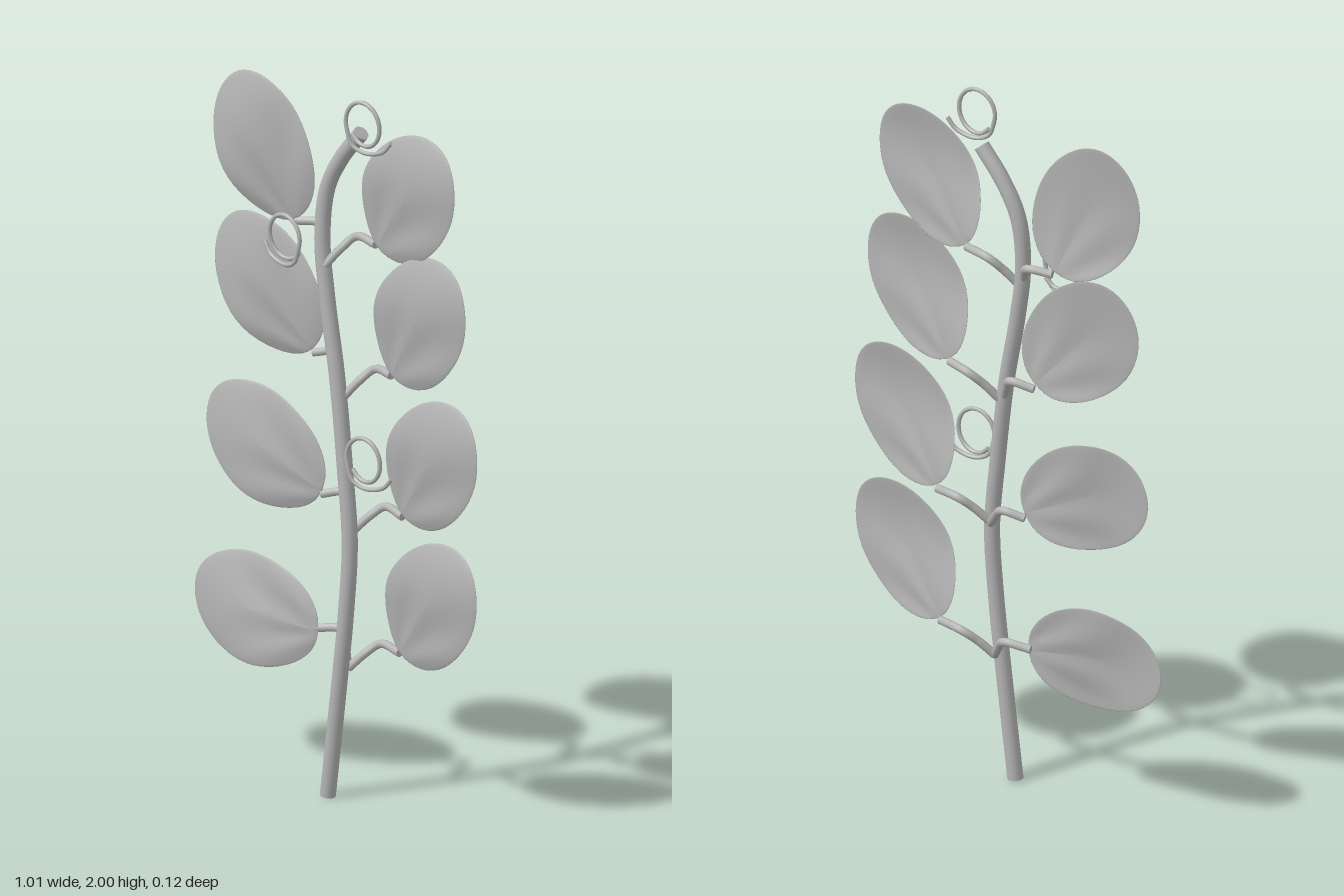
import * as THREE from 'three';

const grey = new THREE.MeshStandardMaterial({ color: 0xb4b4b4 });
grey.name = 'grey';

const vec = (p) => new THREE.Vector3(...p);

// Round tube along a smooth curve, closed with flat discs at both ends
function cappedTube(name, points, radius, segments, sides) {
  const group = new THREE.Group();
  group.name = name;
  const curve = new THREE.CatmullRomCurve3(points.map(vec));
  group.add(new THREE.Mesh(new THREE.TubeGeometry(curve, segments, radius, sides), grey));
  for (const t of [0, 1]) {
    const cap = new THREE.Mesh(new THREE.CircleGeometry(radius, sides), grey);
    const out = curve.getTangent(t).multiplyScalar(t ? 1 : -1);
    cap.quaternion.setFromUnitVectors(new THREE.Vector3(0, 0, 1), out);
    cap.position.copy(curve.getPoint(t));
    group.add(cap);
  }
  group.children.forEach((m, i) => { m.name = name + (i ? 'End' : 'Tube'); });
  return group;
}

// Thin oval leaf: a flattened sphere, bowed along its length and puckered at its base
function leaf(name, x, y, a, b, degrees) {
  const side = Math.sign(x);
  const geo = new THREE.SphereGeometry(1, 48, 24).rotateX(Math.PI / 2);
  const pos = geo.attributes.position;
  for (let i = 0; i < pos.count; i++) {
    const u = pos.getX(i), v = pos.getY(i), w = pos.getZ(i);
    const up = v * side;
    const angle = Math.atan2(v, u + 1.15);
    const pucker = 0.004 * Math.cos(9 * angle) * Math.max(0, 0.5 - u) * Math.min(1, Math.hypot(u + 1, v));
    const bow = 0.01 + 0.009 * u - 0.022 * u * u - 0.008 * v * v;
    const tilt = (side < 0 ? -0.013 : -0.005) * up + 0.005 * Math.sin(3 * u + 2 * v);
    pos.setXYZ(i, u * a, v * b, w * 0.006 + bow + tilt + pucker);
  }
  geo.computeVertexNormals();
  const mesh = new THREE.Mesh(geo, grey);
  mesh.name = name;
  mesh.position.set(x, y, 0);
  mesh.rotation.z = THREE.MathUtils.degToRad(degrees);
  return mesh;
}

// Curled tendril: a short swept tail running into one full loop
function tendril(name, x, y, side) {
  const points = [[0.084, -0.037, 0.032], [0.06, -0.066, 0.037], [0.005, -0.08, 0.045], [-0.035, -0.064, 0.052]];
  for (let i = 0; i <= 12; i++) {
    const t = THREE.MathUtils.degToRad(205 - i * 29);
    points.push([0.056 * Math.cos(t), 0.062 * Math.sin(t), 0.054 - 0.014 * (i / 12)]);
  }
  return cappedTube(name, points.map(([px, py, pz]) => [x + side * px, y + py, pz]), 0.006, 90, 8);
}

export function createModel() {
  const model = new THREE.Group();
  model.name = 'leafySprig';

  // Main stem
  model.add(cappedTube('stem', [
    [-0.006, 0.003, 0.032], [0.025, 0.25, 0.032], [0.058, 0.54, 0.031], [0.065, 0.73, 0.025],
    [0.042, 0.94, 0.019], [0.008, 1.18, 0.011], [-0.035, 1.39, 0.002], [-0.058, 1.55, -0.005],
    [-0.046, 1.69, -0.011], [0, 1.785, -0.015], [0.068, 1.872, -0.018],
  ], 0.0215, 80, 16));

  // Leaves: centre x, y, half length, half width, direction in degrees; then the stalk's three x, y points
  const leaves = [
    [0.245, 1.73, 0.207, 0.154, 53, [-0.04, 1.48], [0.025, 1.563], [0.11, 1.565]],
    [0.286, 1.39, 0.21, 0.154, 57, [0.025, 1.125], [0.09, 1.205], [0.165, 1.21]],
    [0.328, 1.0, 0.207, 0.152, 55, [0.058, 0.755], [0.125, 0.826], [0.205, 0.822]],
    [0.325, 0.603, 0.205, 0.152, 53, [0.042, 0.365], [0.11, 0.436], [0.195, 0.436]],
    [-0.262, 1.76, 0.21, 0.152, 115, [-0.048, 1.49], [-0.1, 1.568], [-0.17, 1.565]],
    [-0.246, 1.378, 0.21, 0.153, 131, [0.01, 1.14], [-0.045, 1.22], [-0.11, 1.208]],
    [-0.262, 0.92, 0.209, 0.152, 154, [0.056, 0.75], [-0.02, 0.83], [-0.08, 0.817]],
    [-0.296, 0.45, 0.21, 0.151, 174, [0.042, 0.365], [-0.025, 0.443], [-0.1, 0.435]],
  ];
  leaves.forEach(([x, y, a, b, degrees, root, bend, tip], i) => {
    const label = (x > 0 ? 'left' : 'right') + (i % 4 + 1);
    model.add(leaf(label + 'Leaf', x, y, a, b, degrees));
    model.add(cappedTube(label + 'Stalk', [
      [...root, 0.005],
      [(root[0] + bend[0]) / 2, (root[1] + bend[1]) / 2 + 0.006, -0.022],
      [...bend, -0.046],
      [...tip, -0.028],
    ], 0.0115, 20, 10));
  });

  // Tendrils
  model.add(tendril('topTendril', 0.132, 1.929, 1));
  model.add(tendril('upperTendril', -0.143, 1.546, -1));
  model.add(tendril('lowerTendril', 0.134, 0.984, 1));

  return model;
}
